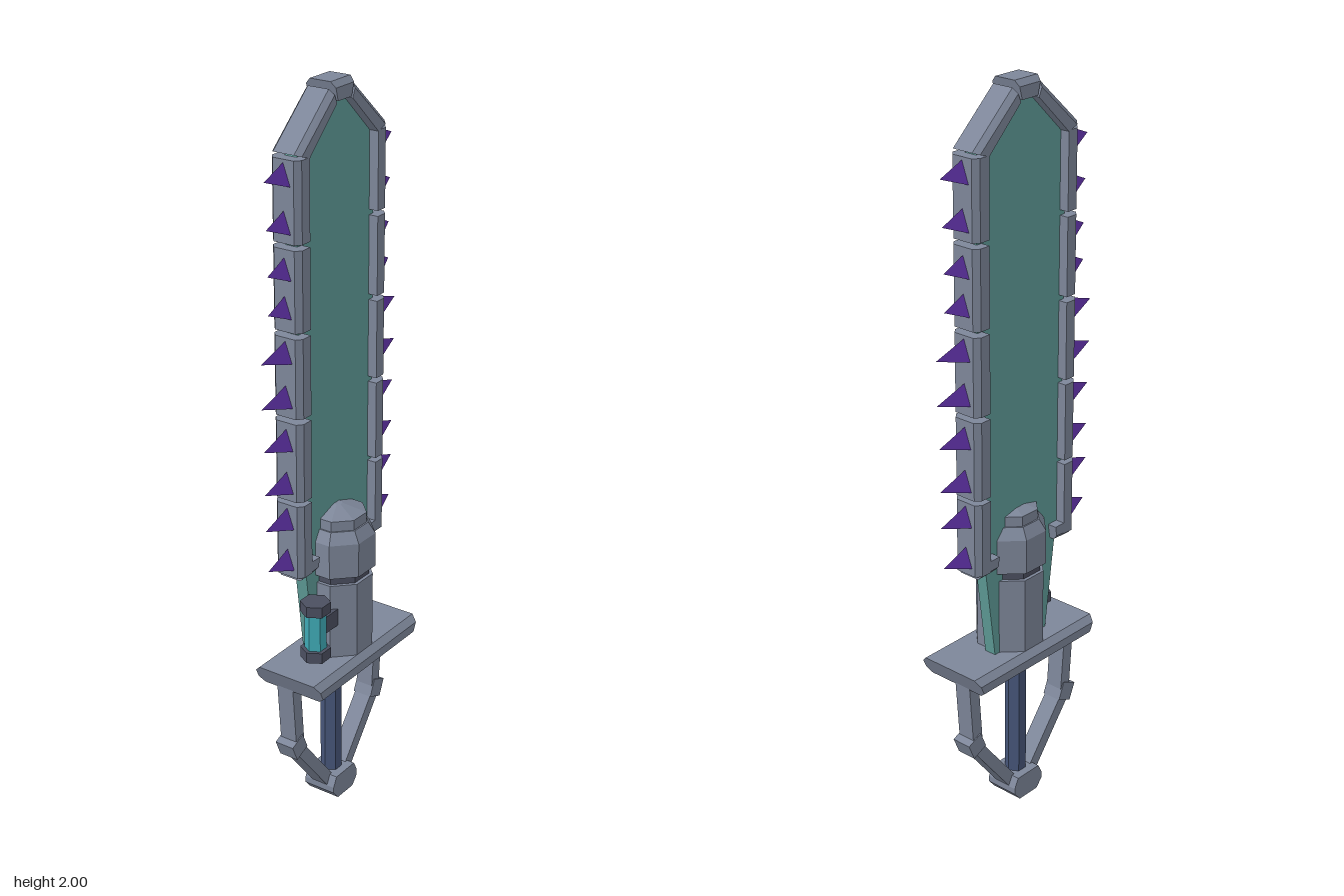
import * as THREE from 'three';
import { ConvexGeometry } from 'three/addons/geometries/ConvexGeometry.js';

const material = (name, color) => {
  const m = new THREE.MeshStandardMaterial({ color, flatShading: true });
  m.name = name;
  return m;
};

const BZ = -0.022; // centre plane of blade and grip

export function createModel() {
  const model = new THREE.Group();
  model.name = 'chainBladeSword';
  const steel = material('steel grey', 0x7d8699);
  const dark = material('dark grey', 0x4b4f60);
  const teal = material('blade teal', 0x5f9c98);
  const purple = material('tooth purple', 0x6032a8);
  const navy = material('grip blue', 0x465578);
  const cyan = material('canister cyan', 0x3fa9b5);

  const add = (name, geometry, mat, x = 0, y = 0, z = 0, parent = model) => {
    const mesh = new THREE.Mesh(geometry, mat);
    mesh.name = name;
    mesh.position.set(x, y, z);
    parent.add(mesh);
    return mesh;
  };
  const hull = (pts) => new ConvexGeometry(pts.map((p) => new THREE.Vector3(...p)));

  // Flat outline extruded around the blade plane
  const plate = (name, pts, depth, mat) => {
    const shape = new THREE.Shape(pts.map(([x, y]) => new THREE.Vector2(x, y)));
    const g = new THREE.ExtrudeGeometry(shape, { depth, bevelEnabled: false });
    return add(name, g.translate(0, 0, -depth / 2), mat, 0, 0, BZ);
  };

  // Rail block given by inner/outer corners, with chamfered outer edges
  const rail = (name, ends) => {
    const pts = [];
    for (const [inner, outer] of ends) {
      const i = new THREE.Vector2(...inner), o = new THREE.Vector2(...outer);
      const c = o.clone().lerp(i, 0.015 / o.distanceTo(i));
      for (const s of [-1, 1]) {
        pts.push([i.x, i.y, s * 0.043], [c.x, c.y, s * 0.043], [o.x, o.y, s * 0.03]);
      }
    }
    add(name, hull(pts), steel, 0, 0, BZ);
  };

  // Blade
  const half = [[0.1, 0.47], [0.137, 0.75], [0.16, 0.76], [0.16, 1.845], [0.035, 1.965]];
  plate('blade', [...half, ...half.map(([x, y]) => [-x, y]).reverse()], 0.034, teal);

  // Rails, corner blocks and teeth on both edges
  const segments = [[0.75, 0.953], [0.965, 1.178], [1.192, 1.402], [1.417, 1.626], [1.64, 1.845]];
  const teeth = [
    [1.807, 0.265], [1.69, 0.26], [1.575, 0.257], [1.478, 0.257], [1.363, 0.288],
    [1.246, 0.288], [1.13, 0.282], [1.013, 0.281], [0.913, 0.281], [0.797, 0.272],
  ];
  for (const s of [1, -1]) {
    for (const [a, b] of segments) {
      rail('edgeRail', [[[s * 0.143, a], [s * 0.19, a]], [[s * 0.143, b], [s * 0.19, b]]]);
    }
    rail('tipRail', [
      [[s * 0.143, 1.842], [s * 0.188, 1.858]],
      [[s * 0.032, 1.948], [s * 0.048, 1.984]],
    ]);
    rail('railFoot', [
      [[s * 0.11, 0.782], [s * 0.117, 0.74]],
      [[s * 0.165, 0.782], [s * 0.178, 0.738]],
    ]);
    for (const [y, tip] of teeth) {
      const base = 0.188;
      add('tooth', hull([
        [s * tip, y, 0], [s * base, y + 0.031, 0],
        [s * base, y - 0.027, 0.021], [s * base, y - 0.027, -0.021],
      ]), purple, 0, 0, BZ);
    }
  }
  rail('tipCap', [[[-0.028, 1.953], [-0.041, 2]], [[0.028, 1.953], [0.041, 2]]]);

  // Motor housing: stacked octagonal drums, apothem as radius
  const drum = (name, r0, r1, y0, y1, mat) => {
    const k = 1 / Math.cos(Math.PI / 8);
    const g = new THREE.CylinderGeometry(r1 * k, r0 * k, y1 - y0, 8);
    g.rotateY(Math.PI / 8);
    add(name, g, mat, 0, (y0 + y1) / 2, 0);
  };
  drum('motorBody', 0.087, 0.087, 0.47, 0.69, steel);
  drum('motorNeck', 0.078, 0.078, 0.69, 0.714, dark);
  drum('motorHead', 0.093, 0.093, 0.714, 0.81, steel);
  drum('motorShoulder', 0.093, 0.075, 0.81, 0.84, steel);
  drum('motorCap', 0.071, 0.071, 0.84, 0.868, steel);
  drum('motorCapTop', 0.071, 0.012, 0.868, 0.888, steel);

  // Side canister
  const can = new THREE.Group();
  can.name = 'canister';
  can.position.set(-0.15, 0, 0.035);
  model.add(can);
  const hex = (r, h) => new THREE.CylinderGeometry(r, r, h, 6).rotateY(Math.PI / 6);
  add('canisterGlass', hex(0.029, 0.12), cyan, 0, 0.592, 0, can);
  add('canisterTop', hex(0.04, 0.03), dark, 0, 0.66, 0, can);
  add('canisterBottom', hex(0.04, 0.03), dark, 0, 0.525, 0, can);
  add('canisterMount', new THREE.BoxGeometry(0.055, 0.048, 0.034), dark, 0.05, 0.598, 0, can);

  // Crossguard with chamfered long edges and slanted ends
  const guard = [];
  for (const [y, z] of [[0.42, 0.087], [0.435, 0.104], [0.46, 0.104], [0.477, 0.087]]) {
    const x = 0.207 + (0.026 * (y - 0.42)) / 0.057;
    for (const sx of [-1, 1]) for (const sz of [-1, 1]) guard.push([sx * x, y, sz * z]);
  }
  add('crossguard', hull(guard), steel);

  // Grip and pommel
  add('grip', new THREE.CylinderGeometry(0.029, 0.029, 0.38, 6).rotateY(Math.PI / 6), navy, 0, 0.24, BZ);
  plate('pommel', [
    [-0.035, 0], [0.035, 0], [0.056, 0.025], [0.056, 0.042],
    [0.042, 0.07], [-0.042, 0.07], [-0.056, 0.042], [-0.056, 0.025],
  ], 0.095, steel);

  // Hand guard bows
  const bar = (name, a, b, width, depth) => {
    const dx = b[0] - a[0], dy = b[1] - a[1];
    const g = new THREE.BoxGeometry(width, Math.hypot(dx, dy), depth);
    add(name, g, steel, (a[0] + b[0]) / 2, (a[1] + b[1]) / 2, BZ).rotation.z = Math.atan2(-dx, dy);
  };
  for (const s of [1, -1]) {
    bar('bowUpper', [s * 0.192, 0.435], [s * 0.178, 0.25], 0.035, 0.05);
    bar('bowJoint', [s * 0.193, 0.26], [s * 0.173, 0.213], 0.05, 0.056);
    bar('bowLower', [s * 0.174, 0.222], [s * 0.035, 0.045], 0.034, 0.05);
  }
  return model;
}
